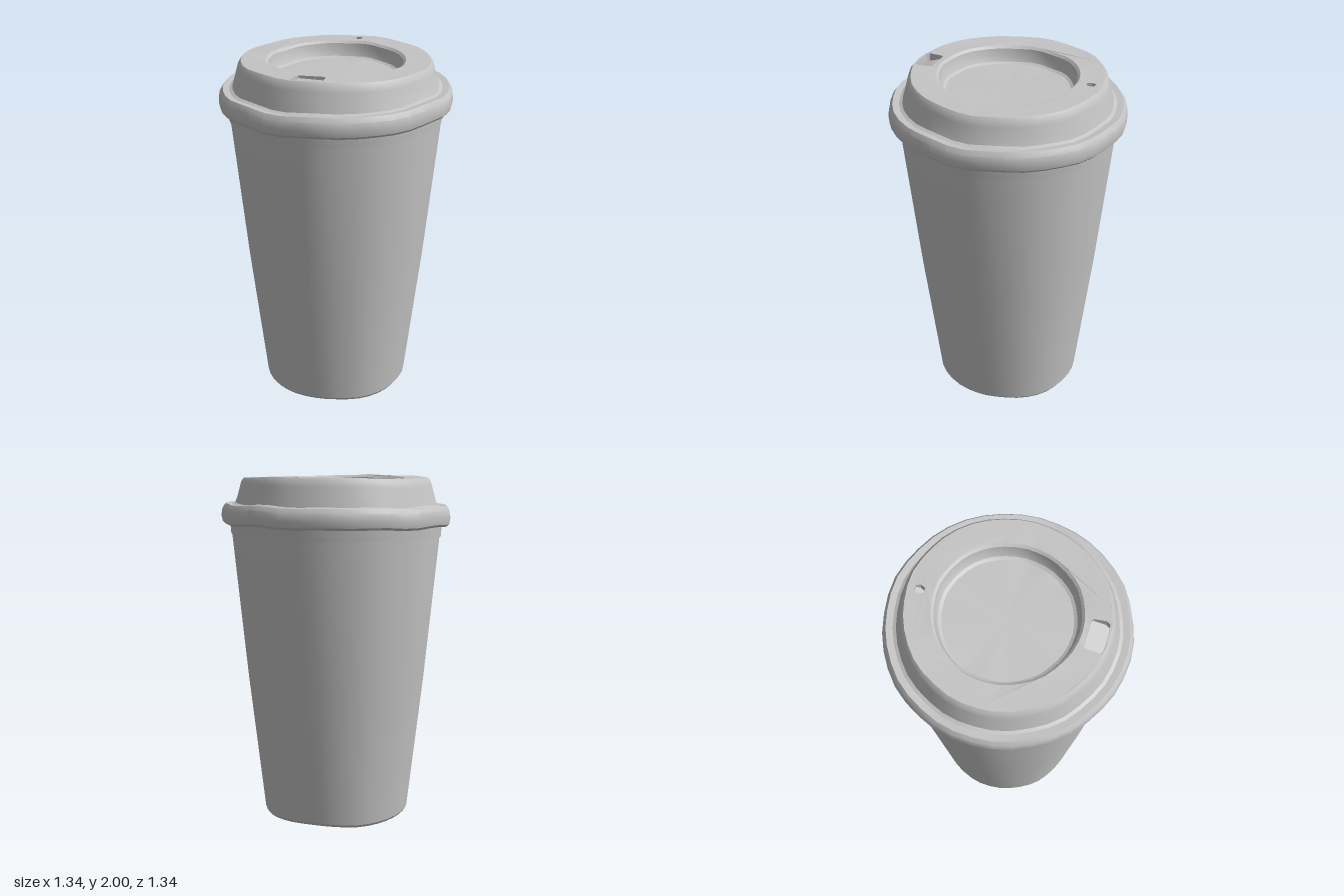
import * as THREE from 'three';
import { toCreasedNormals } from 'three/addons/utils/BufferGeometryUtils.js';

const SIDES = 40;

// Hand-moulded unevenness: a slight wave in radius and height around the axis
function wobble(geometry, radial, vertical) {
  const p = geometry.attributes.position;
  for (let i = 0; i < p.count; i++) {
    const x = p.getX(i), y = p.getY(i), z = p.getZ(i);
    const a = Math.atan2(x, z);
    const s = 1 + radial * (Math.sin(3 * a + 0.6) + 0.7 * Math.sin(8 * a + 2) + 0.5 * Math.sin(13 * a));
    p.setXYZ(i, x * s, y + vertical(a, x, y), z * s);
  }
  return toCreasedNormals(geometry, 0.45);
}

function lathe(profile) {
  return new THREE.LatheGeometry(profile.map(([r, y]) => new THREE.Vector2(r, y)), SIDES);
}

// Outline on the lid top, given as [x, z] corners
function hole(corners) {
  return new THREE.Path(corners.map(([x, z]) => new THREE.Vector2(x, -z)));
}

export function createModel() {
  const model = new THREE.Group();
  model.name = 'takeawayCup';
  const grey = new THREE.MeshStandardMaterial({ color: 0xc4c4c4 });
  grey.name = 'plain grey';

  const add = (name, geometry, parent) => {
    const mesh = new THREE.Mesh(geometry, grey);
    mesh.name = name;
    parent.add(mesh);
    return mesh;
  };

  // Tapered cup with a recessed base
  const cupWave = (a, x, y) => (y < 0.05 ? 0.006 + 0.006 * Math.sin(4 * a + 1) : 0);
  add('cupBody', wobble(lathe([
    [0, 0.09], [0.36, 0.09], [0.375, 0.005], [0.42, 0], [0.43, 0.015],
    [0.522, 0.82], [0.606, 1.66], [0.608, 1.75],
  ]), 0.004, cupWave), model);

  // Lid: all its parts share one tilt and wave so that they meet
  const lid = new THREE.Group();
  lid.name = 'lid';
  model.add(lid);
  const lidWave = (a, x, y) => {
    const ripple = 0.003 * Math.sin(7 * a) + 0.003 * Math.sin(11 * a + 1);
    return y > 1.86 ? -0.012 * (1 - Math.cos(2 * a)) / 2 - 0.002 + ripple / 2 : 0.012 * x + ripple;
  };

  // Skirt, rolled rim and sloping collar
  add('lidShell', wobble(lathe([
    [0.595, 1.665], [0.612, 1.66], [0.618, 1.74], [0.648, 1.722], [0.66, 1.735],
    [0.667, 1.77], [0.66, 1.81], [0.642, 1.836], [0.605, 1.832], [0.587, 1.84],
    [0.574, 1.89], [0.558, 1.95], [0.55, 1.978], [0.535, 1.997],
  ]), 0.004, lidWave), lid);

  // Flat top ring with the sip slot and the vent cut through
  const ring = new THREE.Shape().absarc(0, 0, 0.535, 0, Math.PI * 2);
  ring.holes.push(
    new THREE.Path().absarc(0, 0, 0.395, 0, Math.PI * 2, true),
    hole([[-0.075, 0.422], [0.07, 0.422], [0.08, 0.435], [0.086, 0.5],
      [0.072, 0.52], [-0.08, 0.522], [-0.093, 0.51], [-0.086, 0.436]]),
    hole([[-0.02, -0.495], [0.012, -0.492], [0.022, -0.47], [0.012, -0.442], [-0.018, -0.444], [-0.025, -0.47]]),
  );
  const ringGeometry = new THREE.ExtrudeGeometry(ring, { depth: 0.05, bevelEnabled: false, curveSegments: SIDES / 2 });
  ringGeometry.rotateX(-Math.PI / 2).translate(0, 1.947, 0);
  add('lidTop', wobble(ringGeometry, 0.004, lidWave), lid);

  // Sunken centre
  add('lidRecess', wobble(lathe([
    [0.395, 1.997], [0.381, 1.984], [0.374, 1.94], [0.362, 1.912], [0.345, 1.903], [0, 1.903],
  ]), 0.004, lidWave), lid);

  // Sloping floors under the sip slot and the vent
  const slotFloor = add('sipSlotFloor', new THREE.BoxGeometry(0.19, 0.008, 0.12), lid);
  slotFloor.position.set(-0.003, 1.955, 0.472);
  slotFloor.rotation.x = 0.35;
  const ventFloor = add('ventFloor', new THREE.BoxGeometry(0.06, 0.008, 0.09), lid);
  ventFloor.position.set(0, 1.945, -0.468);
  ventFloor.rotation.x = 0.8;

  return model;
}
